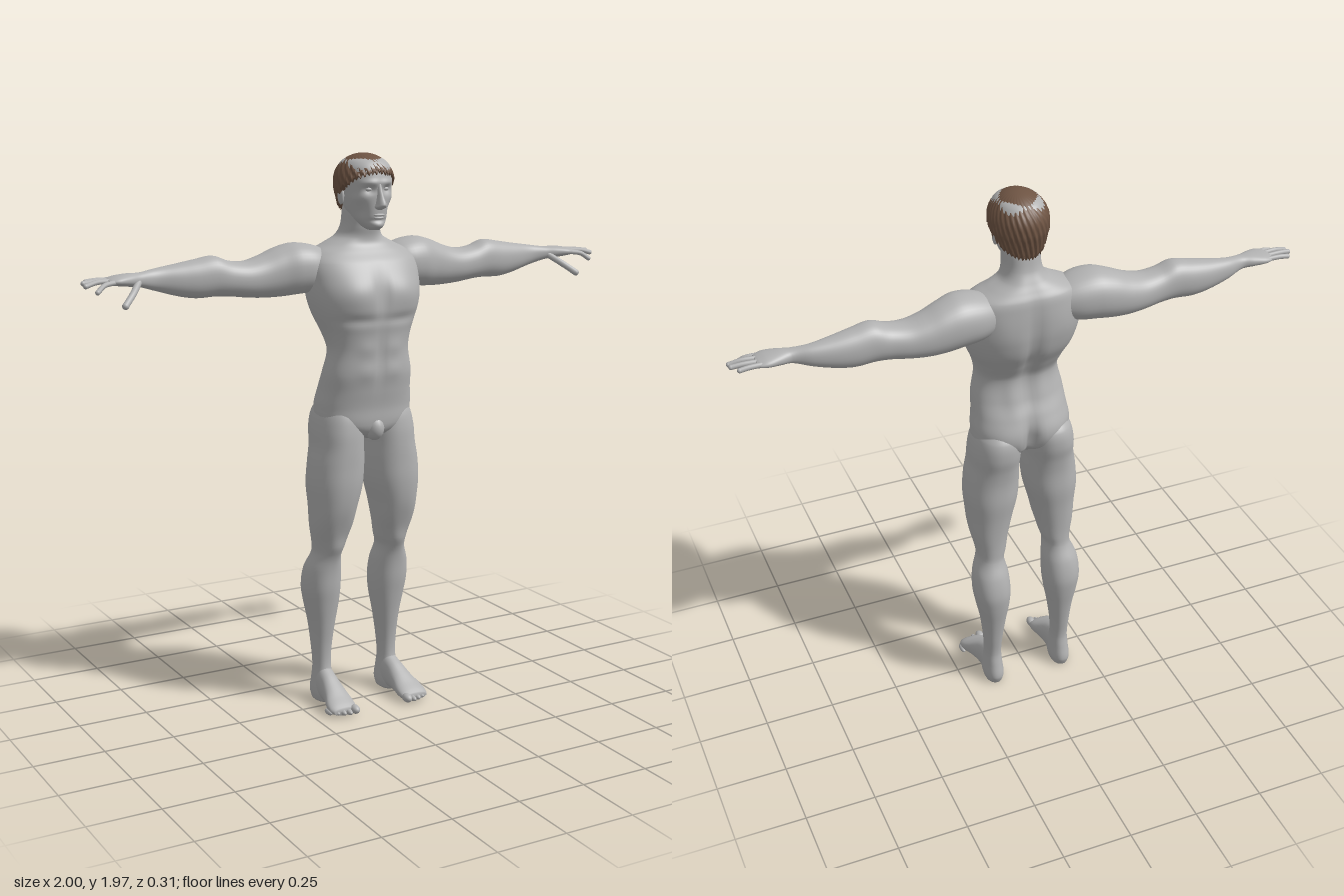
import * as THREE from 'three';

const skin = new THREE.MeshStandardMaterial({ color: 0xb2b2b2 });
skin.name = 'skin';
const hairBrown = new THREE.MeshStandardMaterial({ color: 0x6e5443, side: THREE.DoubleSide });
hairBrown.name = 'hair brown';

// Smoothly interpolated row of a table whose first column is the position
function sample(rows, i, f) {
  const at = k => rows[Math.min(Math.max(k, 0), rows.length - 1)];
  const [a, b, c, d] = [at(i - 1), at(i), at(i + 1), at(i + 2)];
  const span = c[0] - b[0];
  return b.map((p, k) => {
    const m0 = (c[k] - a[k]) / (c[0] - a[0]) * span;
    const m1 = (d[k] - b[k]) / (d[0] - b[0]) * span;
    const f2 = f * f, f3 = f2 * f;
    return (2 * f3 - 3 * f2 + 1) * p + (f3 - 2 * f2 + f) * m0 + (3 * f2 - 2 * f3) * c[k] + (f3 - f2) * m1;
  });
}

// Closed surface from rings of points, capped at both ends and wound outwards
function skinRings(rings) {
  const n = rings[0].length, pos = [], idx = [];
  rings.forEach(r => r.forEach(p => pos.push(p.x, p.y, p.z)));
  for (let j = 0; j < rings.length - 1; j++) for (let i = 0; i < n; i++) {
    const a = j * n + i, b = j * n + (i + 1) % n;
    idx.push(a, b, a + n, b, b + n, a + n);
  }
  [0, rings.length - 1].forEach((j, end) => {
    const c = rings[j].reduce((s, p) => s.add(p), new THREE.Vector3()).divideScalar(n);
    const k = pos.length / 3;
    pos.push(c.x, c.y, c.z);
    for (let i = 0; i < n; i++) {
      const a = j * n + i, b = j * n + (i + 1) % n;
      end ? idx.push(a, b, k) : idx.push(b, a, k);
    }
  });
  let volume = 0;
  const v = k => new THREE.Vector3().fromArray(pos, idx[k] * 3);
  for (let k = 0; k < idx.length; k += 3) volume += v(k).dot(v(k + 1).cross(v(k + 2)));
  if (volume < 0) idx.reverse();
  const g = new THREE.BufferGeometry();
  g.setAttribute('position', new THREE.Float32BufferAttribute(pos, 3));
  g.setIndex(idx);
  g.computeVertexNormals();
  return g;
}

// Rows: [position, centre, half width, high side, low side]
// Bumps: [|x|, y, z, radius across, radius along y, height]
function loft(rows, place, { n = 48, steps = 5, power = 2.25, bumps = [] } = {}) {
  const rings = [];
  for (let i = 0; i < rows.length - 1; i++) {
    for (let s = 0; s < steps + (i === rows.length - 2 ? 1 : 0); s++) {
      const [t, c, h, hi, lo] = sample(rows, i, s / steps);
      const mid = place(t, c, (hi + lo) / 2), ring = [];
      for (let k = 0; k < n; k++) {
        const a = k / n * Math.PI * 2, e = 2 / power;
        const u = Math.sign(Math.cos(a)) * Math.abs(Math.cos(a)) ** e;
        const w = Math.sign(Math.sin(a)) * Math.abs(Math.sin(a)) ** e;
        const p = place(t, c + h * u, (hi + lo) / 2 + (hi - lo) / 2 * w);
        const out = p.clone().sub(mid).normalize();
        let push = 0;
        for (const [x, y, z, rx, ry, amount] of bumps) {
          push += amount * Math.exp(-(((Math.abs(p.x) - x) / rx) ** 2) - ((p.y - y) / ry) ** 2 - ((p.z - z) / 0.07) ** 2);
        }
        ring.push(p.addScaledVector(out, push));
      }
      rings.push(ring);
    }
  }
  return skinRings(rings);
}

const upright = (s = 1) => (t, u, w) => new THREE.Vector3(s * u, t, w);
const forward = s => (t, u, w) => new THREE.Vector3(s * u, w, t);
const sideways = s => (t, u, w) => new THREE.Vector3(s * t, w, u);

const torsoRows = [
  [0.985, 0, 0.03, 0.06, -0.04], [1.01, 0, 0.11, 0.09, -0.09], [1.04, 0, 0.165, 0.102, -0.118],
  [1.1, 0, 0.176, 0.105, -0.128], [1.16, 0, 0.168, 0.115, -0.113], [1.22, 0, 0.162, 0.124, -0.085],
  [1.3, 0, 0.147, 0.125, -0.07], [1.36, 0, 0.16, 0.13, -0.1], [1.42, 0, 0.185, 0.14, -0.134],
  [1.48, 0, 0.202, 0.138, -0.149], [1.54, 0, 0.206, 0.125, -0.153], [1.6, 0, 0.2, 0.095, -0.152],
  [1.635, 0, 0.175, 0.062, -0.147], [1.66, 0, 0.125, 0.042, -0.133], [1.685, 0, 0.08, 0.038, -0.117],
  [1.72, 0, 0.064, 0.045, -0.098], [1.78, 0, 0.06, 0.05, -0.085], [1.82, 0, 0.05, 0.04, -0.07]];
const torsoBumps = [
  [0.09, 1.5, 0.13, 0.07, 0.055, 0.014], [0.08, 1.41, 0.13, 0.09, 0.018, -0.008], [0, 1.49, 0.14, 0.018, 0.08, -0.012],
  [0, 1.27, 0.13, 0.012, 0.09, -0.006], [0.05, 1.31, 0.13, 0.035, 0.03, 0.005], [0.05, 1.23, 0.13, 0.035, 0.03, 0.005],
  [0, 1.4, -0.13, 0.025, 0.2, -0.02], [0.1, 1.53, -0.15, 0.05, 0.06, 0.005], [0.05, 1.25, -0.08, 0.03, 0.08, 0.008],
  [0, 1.06, -0.13, 0.02, 0.07, -0.035], [0.08, 1.08, -0.13, 0.06, 0.06, 0.01]];
const legRows = [
  [1.12, 0.092, 0.055, 0.06, -0.1], [1.08, 0.095, 0.078, 0.085, -0.132], [1.02, 0.1, 0.087, 0.097, -0.137],
  [0.96, 0.103, 0.088, 0.1, -0.125], [0.9, 0.108, 0.094, 0.1, -0.118], [0.82, 0.114, 0.094, 0.098, -0.118],
  [0.74, 0.12, 0.08, 0.085, -0.11], [0.66, 0.126, 0.066, 0.058, -0.105], [0.6, 0.126, 0.054, 0.036, -0.104],
  [0.56, 0.13, 0.047, 0.023, -0.108], [0.5, 0.136, 0.063, 0.012, -0.135], [0.43, 0.137, 0.067, 0.005, -0.15],
  [0.37, 0.135, 0.06, -0.005, -0.146], [0.29, 0.134, 0.045, -0.018, -0.133], [0.2, 0.135, 0.034, -0.03, -0.12],
  [0.13, 0.135, 0.03, -0.03, -0.113], [0.08, 0.135, 0.033, -0.015, -0.122], [0.03, 0.135, 0.036, -0.01, -0.132],
  [0.0, 0.135, 0.03, -0.02, -0.122]];
const legBumps = [[0.125, 0.59, 0.03, 0.028, 0.035, 0.008], [0.07, 0.67, 0.05, 0.03, 0.05, 0.006], [0.18, 0.7, 0.05, 0.03, 0.06, 0.004]];
const footRows = [
  [-0.1, 0.135, 0.025, 0.09, 0.005], [-0.05, 0.135, 0.034, 0.128, 0.003], [-0.01, 0.137, 0.036, 0.115, 0.006],
  [0.04, 0.14, 0.043, 0.085, 0.005], [0.08, 0.144, 0.052, 0.06, 0.002], [0.11, 0.146, 0.052, 0.043, 0.002],
  [0.13, 0.146, 0.042, 0.03, 0.006]];
const armRows = [
  [0.1, -0.07, 0.05, 1.63, 1.53], [0.17, -0.06, 0.085, 1.658, 1.5], [0.24, -0.064, 0.091, 1.668, 1.492],
  [0.3, -0.072, 0.083, 1.654, 1.487], [0.36, -0.075, 0.075, 1.63, 1.487], [0.42, -0.073, 0.068, 1.615, 1.492],
  [0.48, -0.071, 0.061, 1.62, 1.5], [0.535, -0.072, 0.058, 1.639, 1.503], [0.6, -0.076, 0.054, 1.63, 1.501],
  [0.66, -0.079, 0.046, 1.62, 1.511], [0.74, -0.079, 0.031, 1.608, 1.534], [0.8, -0.065, 0.026, 1.6, 1.552],
  [0.84, -0.062, 0.038, 1.6, 1.557], [0.88, -0.06, 0.047, 1.596, 1.562], [0.905, -0.06, 0.042, 1.59, 1.566],
  [0.915, -0.06, 0.034, 1.586, 1.57]];
const headRows = [
  [1.712, 0, 0.018, 0.092, 0.04], [1.725, 0, 0.034, 0.106, 0.0], [1.75, 0, 0.054, 0.108, -0.04],
  [1.78, 0, 0.067, 0.11, -0.07], [1.82, 0, 0.076, 0.112, -0.088], [1.86, 0, 0.083, 0.113, -0.1],
  [1.9, 0, 0.085, 0.108, -0.102], [1.93, 0, 0.077, 0.095, -0.092], [1.952, 0, 0.05, 0.06, -0.06], [1.958, 0, 0.01, 0.01, -0.01]];
const headBumps = [
  [0.033, 1.848, 0.1, 0.018, 0.013, -0.013], [0.03, 1.872, 0.11, 0.03, 0.01, 0.006], [0, 1.745, 0.11, 0.03, 0.007, -0.005],
  [0.055, 1.775, 0.08, 0.018, 0.025, -0.006], [0.058, 1.82, 0.07, 0.02, 0.015, 0.004], [0, 1.728, 0.11, 0.02, 0.012, 0.004]];
const noseRows = [
  [1.782, 0, 0.009, 0.12, 0.09], [1.79, 0, 0.019, 0.138, 0.09], [1.8, 0, 0.016, 0.146, 0.09],
  [1.825, 0, 0.011, 0.133, 0.09], [1.85, 0, 0.009, 0.121, 0.09], [1.872, 0, 0.008, 0.113, 0.09]];

// Hair cap with a hairline that is high over the brow and low at the nape
function hairGeometry() {
  const rings = [], n = 144, m = 30;
  for (let j = 0; j <= m; j++) {
    const ring = [];
    for (let k = 0; k < n; k++) {
      const a = k / n * Math.PI * 2, front = Math.cos(a);
      const edge = (front > 0 ? 1.835 + 0.07 * front ** 0.8 : 1.835 - 0.07 * (-front) ** 0.8) + 0.006 * Math.sin(k * 1.9);
      const lift = j / m * Math.PI / 2;
      const y = edge + (1.967 - edge) * Math.sin(lift);
      const round = Math.sqrt(Math.max(0, 1 - Math.max(0, (y - 1.875) / 0.092) ** 2));
      const nape = 1 - Math.max(0, 1.85 - y) * 2.2;
      const r = round * nape * (1 + 0.022 * Math.sin(k * 1.35 + j * 0.9) * Math.cos(lift));
      ring.push(new THREE.Vector3(Math.sin(a) * 0.098 * r, y, front * 0.118 * r));
    }
    rings.push(ring);
  }
  return skinRings(rings);
}

export function createModel() {
  const model = new THREE.Group();
  const add = (name, geometry, material = skin) => {
    const mesh = new THREE.Mesh(geometry, material);
    mesh.name = name;
    model.add(mesh);
    return mesh;
  };
  const ball = (name, p, r) => add(name, new THREE.SphereGeometry(1, 20, 14).scale(...r).translate(...p));
  // Tapering finger along a bent path with a round tip
  const digit = (name, points, r) => {
    const path = new THREE.CatmullRomCurve3(points.map(p => new THREE.Vector3(...p)));
    const g = new THREE.TubeGeometry(path, 12, r, 10);
    add(name, g);
    ball(name + 'Tip', points[points.length - 1], [r, r, r]);
  };

  // Trunk and head
  add('torso', loft(torsoRows, upright(), { n: 80, steps: 7, power: 2.4, bumps: torsoBumps }));
  ball('groin', [0, 1.025, 0.075], [0.034, 0.045, 0.04]);
  add('head', loft(headRows, upright(), { n: 96, steps: 8, bumps: headBumps }));
  add('nose', loft(noseRows, upright(), { n: 24, power: 2 }));
  ball('upperLip', [0, 1.764, 0.106], [0.022, 0.005, 0.012]);
  ball('lowerLip', [0, 1.754, 0.104], [0.019, 0.006, 0.012]);
  add('hair', hairGeometry(), hairBrown);

  for (const s of [1, -1]) {
    const side = s > 0 ? 'left' : 'right';
    ball(side + 'Eye', [s * 0.032, 1.85, 0.089], [0.014, 0.008, 0.012]);
    ball(side + 'Ear', [s * 0.084, 1.825, -0.008], [0.009, 0.031, 0.018]).name = side + 'Ear';
    add(side + 'Leg', loft(legRows, upright(s), { bumps: legBumps }));
    add(side + 'Foot', loft(footRows, forward(s), { n: 32 }));
    for (let i = 0; i < 5; i++) {
      const r = i ? 0.0105 : 0.016;
      ball(side + 'Toe', [s * (0.108 + i * 0.021 + (i ? 0.003 : 0)), r + 0.004, 0.13 - i * i * 0.0022], [r, r, 0.024]);
    }
    add(side + 'Arm', loft(armRows, sideways(s), { n: 40 }));
    // Fingers fan out from the palm
    [[0.965, 1.552, -0.004], [0.993, 1.57, -0.035], [0.992, 1.576, -0.063], [0.972, 1.577, -0.094]].forEach(([x, y, z], i) => {
      const z0 = -0.028 - i * 0.021;
      digit(side + 'Finger', [[s * 0.88, 1.579, z0], [s * (0.5 * x + 0.455), 1.58 - (i ? 0 : 0.009), (z0 + z) / 2], [s * x, y, z]], 0.0085);
    });
    digit(side + 'Thumb', [[s * 0.81, 1.57, -0.045], [s * 0.845, 1.54, -0.005], [s * 0.885, 1.507, 0.028]], 0.0115);
  }
  return model;
}
